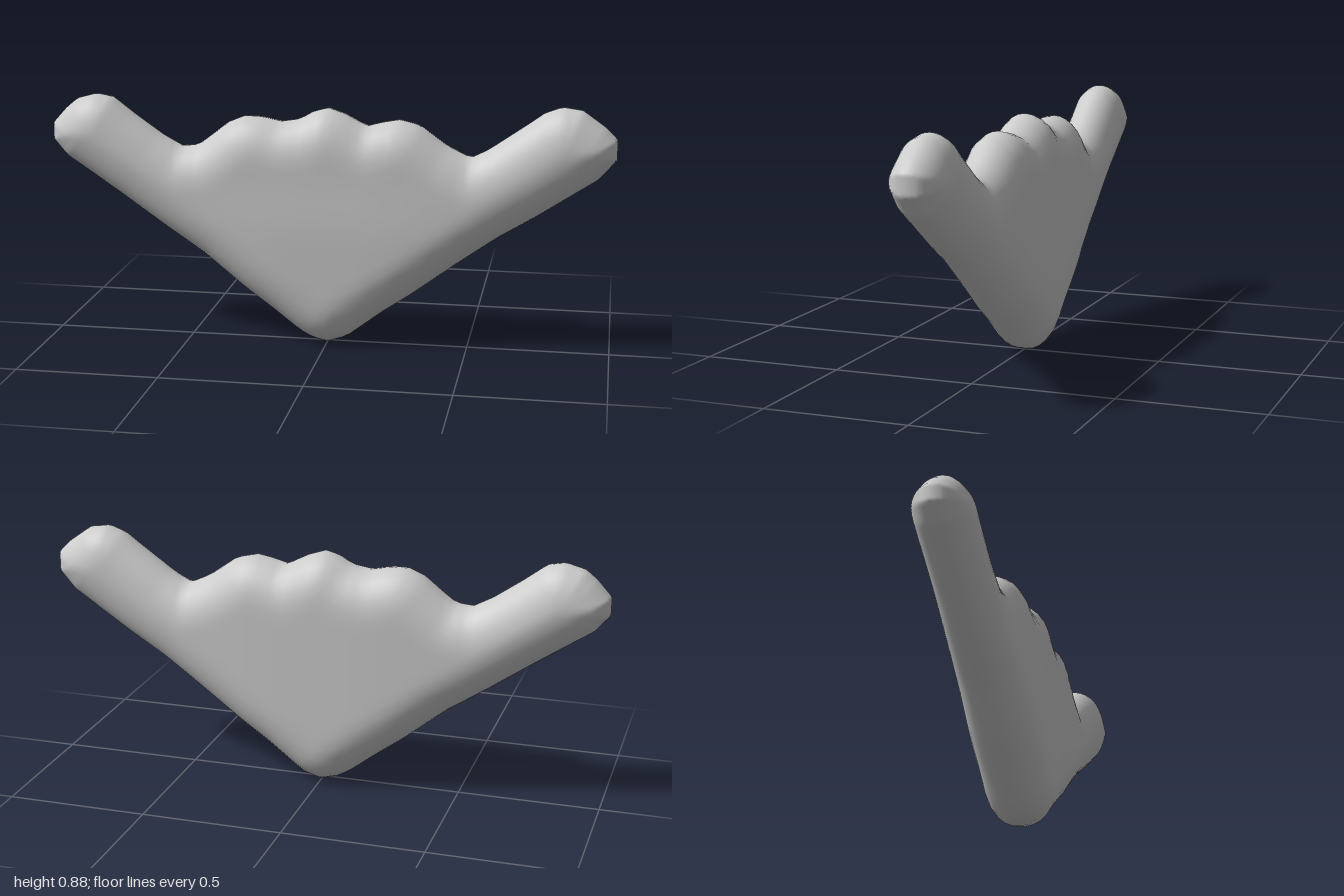
import * as THREE from 'three';
import { mergeVertices } from 'three/addons/utils/BufferGeometryUtils.js';

// Outline seen from the front: upper and lower edge, both from -x to +x
const UPPER = [[-1, .77], [-.95, .825], [-.91, .858], [-.84, .877], [-.78, .866], [-.7, .805], [-.6, .735],
  [-.53, .697], [-.47, .703], [-.42, .74], [-.36, .788], [-.3, .813], [-.24, .812], [-.17, .797], [-.1, .808],
  [-.05, .838], [0, .85], [.06, .83], [.135, .79], [.19, .805], [.25, .816], [.32, .8], [.42, .728],
  [.5, .69], [.56, .72], [.7, .818], [.75, .855], [.81, .877], [.88, .867], [.96, .81], [1, .77]];
const LOWER = [[-1, .71], [-.95, .65], [-.85, .583], [-.75, .515], [-.6, .41], [-.45, .31], [-.3, .188],
  [-.2, .115], [-.1, .037], [-.05, .01], [0, 0], [.07, .022], [.2, .122], [.3, .19], [.46, .31], [.6, .41],
  [.73, .49], [.85, .57], [.94, .63], [1, .7]];
const OUTLINE = [...UPPER, ...[...LOWER].reverse()];

// Height of an edge at x
function heightAt(edge, x) {
  let i = 1;
  while (i < edge.length - 1 && edge[i][0] < x) i++;
  const [x0, y0] = edge[i - 1], [x1, y1] = edge[i];
  return THREE.MathUtils.lerp(y0, y1, (x - x0) / (x1 - x0));
}

// Distance from a point to the outline
function edgeDistance(x, y) {
  let best = Infinity;
  OUTLINE.forEach(([ax, ay], i) => {
    const [bx, by] = OUTLINE[(i + 1) % OUTLINE.length];
    const dx = bx - ax, dy = by - ay;
    const t = THREE.MathUtils.clamp(((x - ax) * dx + (y - ay) * dy) / (dx * dx + dy * dy), 0, 1);
    best = Math.min(best, Math.hypot(x - ax - t * dx, y - ay - t * dy));
  });
  return best;
}

// Half thickness: a round rim running into a flat face, thinner along the arms
function depthAt(x, y, side) {
  const inset = 1 - Math.min(edgeDistance(x, y) / 0.15, 1);
  const rim = Math.sqrt(Math.max(0, 1 - inset * inset));
  const arm = THREE.MathUtils.smoothstep(Math.abs(x), 0.1, 0.75);
  const upper = side > 0 ? 0.012 * THREE.MathUtils.smoothstep(y, 0.4, 0.65) * (1 - arm) : 0;
  return rim * (THREE.MathUtils.lerp(0.122, 0.103, arm) - upper);
}

// Closed rings across the body, one for each station along x
function bodyGeometry(columns = 100, half = 22) {
  const positions = [], indices = [], ring = half * 2;
  for (let c = 0; c <= columns; c++) {
    const u = (c / columns) * 2 - 1;
    const x = THREE.MathUtils.lerp(u, Math.sin(u * Math.PI / 2), 0.7);
    const top = heightAt(UPPER, x), bottom = heightAt(LOWER, x);
    for (let k = 0; k < ring; k++) {
      const a = (k / half) * Math.PI;
      const y = THREE.MathUtils.lerp(bottom, top, 0.5 + 0.5 * Math.cos(a));
      const side = k % half === 0 ? 0 : (k < half ? 1 : -1);
      positions.push(x, y, side * depthAt(x, y, side));
    }
  }
  for (let c = 0; c < columns; c++) {
    for (let k = 0; k < ring; k++) {
      const a = c * ring + k, b = c * ring + (k + 1) % ring;
      indices.push(a, b, a + ring, b, b + ring, a + ring);
    }
  }
  let geometry = new THREE.BufferGeometry();
  geometry.setAttribute('position', new THREE.Float32BufferAttribute(positions, 3));
  geometry.setIndex(indices);
  geometry = mergeVertices(geometry, 1e-4);
  geometry.computeVertexNormals();
  return geometry;
}

export function createModel() {
  const group = new THREE.Group();
  group.name = 'cushionedWing';
  const body = new THREE.Mesh(bodyGeometry(), new THREE.MeshStandardMaterial({ color: 0xcccccc }));
  body.name = 'body';
  group.add(body);
  return group;
}
